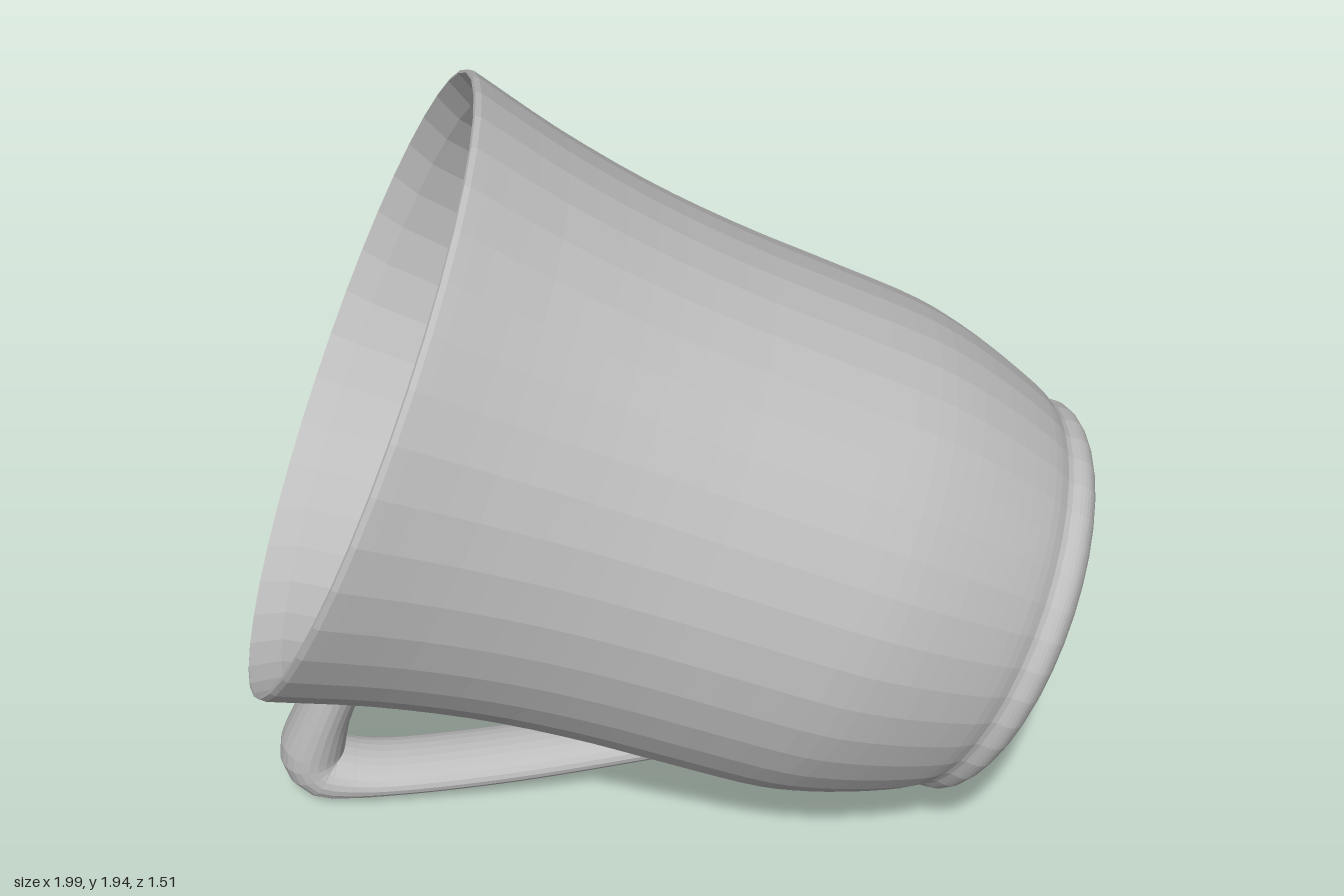
import * as THREE from 'three';

const V2 = (p) => new THREE.Vector2(p[0], p[1]);

// split faces so that each facet keeps its own normal
function faceted(geometry) {
  const g = geometry.toNonIndexed();
  g.computeVertexNormals();
  return g;
}

function part(name, geometry, material) {
  const mesh = new THREE.Mesh(geometry, material);
  mesh.name = name;
  return mesh;
}

export function createModel() {
  const group = new THREE.Group();
  group.name = 'tippedMug';
  const clay = new THREE.MeshStandardMaterial({ color: 0xbdbdbd });
  clay.name = 'grey ceramic';

  // slightly domed foot, flared outer wall and thin inner wall [radius, height]
  const foot = new THREE.SplineCurve([
    [0.33, -0.028], [0.41, -0.018], [0.455, -0.004], [0.482, 0.018], [0.491, 0.042], [0.488, 0.07],
  ].map(V2)).getPoints(14);
  const outer = new THREE.SplineCurve([
    [0.491, 0.084], [0.517, 0.13], [0.555, 0.235], [0.59, 0.36], [0.612, 0.49],
    [0.622, 0.71], [0.631, 0.93], [0.653, 1.16], [0.694, 1.395], [0.745, 1.6],
  ].map(V2)).getPoints(28);
  const inner = new THREE.SplineCurve([
    [0.706, 1.58], [0.674, 1.4], [0.632, 1.16], [0.609, 0.93], [0.6, 0.71],
    [0.588, 0.49], [0.563, 0.35], [0.522, 0.22], [0.47, 0.12], [0.38, 0.06],
  ].map(V2)).getPoints(24);
  const profile = [
    V2([0, -0.032]),
    ...foot,
    ...outer,
    ...[[0.753, 1.632], [0.751, 1.645], [0.743, 1.647]].map(V2),
    ...inner,
    V2([0, 0.045]),
  ];
  const cup = part('cup', faceted(new THREE.LatheGeometry(profile, 40)), clay);
  cup.position.set(0.81, 0.605, 0);
  cup.rotation.z = 1.167;
  group.add(cup);

  // handle: bent tube, oval in section and thicker round the corner
  const path = new THREE.CatmullRomCurve3([
    [-0.758, 0.55], [-0.765, 0.48], [-0.812, 0.36], [-0.868, 0.21], [-0.886, 0.13], [-0.862, 0.086],
    [-0.8, 0.072], [-0.7, 0.072], [-0.4, 0.112], [0, 0.195], [0.16, 0.233], [0.26, 0.268],
  ].map(([x, y]) => new THREE.Vector3(x, y, 0)));
  const steps = 56, sides = 24;
  const thickness = (u) => 0.05 + 0.016 * (1 - THREE.MathUtils.smoothstep(u, 0.28, 0.42))
    + 0.016 * Math.exp(-(((u - 0.27) / 0.07) ** 2));
  const tube = new THREE.TubeGeometry(path, steps, 1, sides, false);
  const pos = tube.attributes.position;
  for (let i = 0; i <= steps; i++) {
    const c = path.getPointAt(i / steps), r = thickness(i / steps);
    for (let j = 0; j <= sides; j++) {
      const k = i * (sides + 1) + j;
      pos.setXYZ(k, c.x + (pos.getX(k) - c.x) * r, c.y + (pos.getY(k) - c.y) * r, pos.getZ(k) * 0.095);
    }
  }
  group.add(part('handle', faceted(tube), clay));

  // flat handle ends
  [0, 1].forEach((u) => {
    const cap = part('handleEnd', new THREE.CircleGeometry(1, sides), clay);
    const outward = path.getTangentAt(u).multiplyScalar(u ? 1 : -1);
    const side = new THREE.Vector3(0, 0, 1);
    const up = new THREE.Vector3().crossVectors(outward, side);
    cap.scale.set(0.095, thickness(u), 1);
    cap.position.copy(path.getPointAt(u));
    cap.quaternion.setFromRotationMatrix(new THREE.Matrix4().makeBasis(side, up, outward));
    group.add(cap);
  });

  return group;
}
